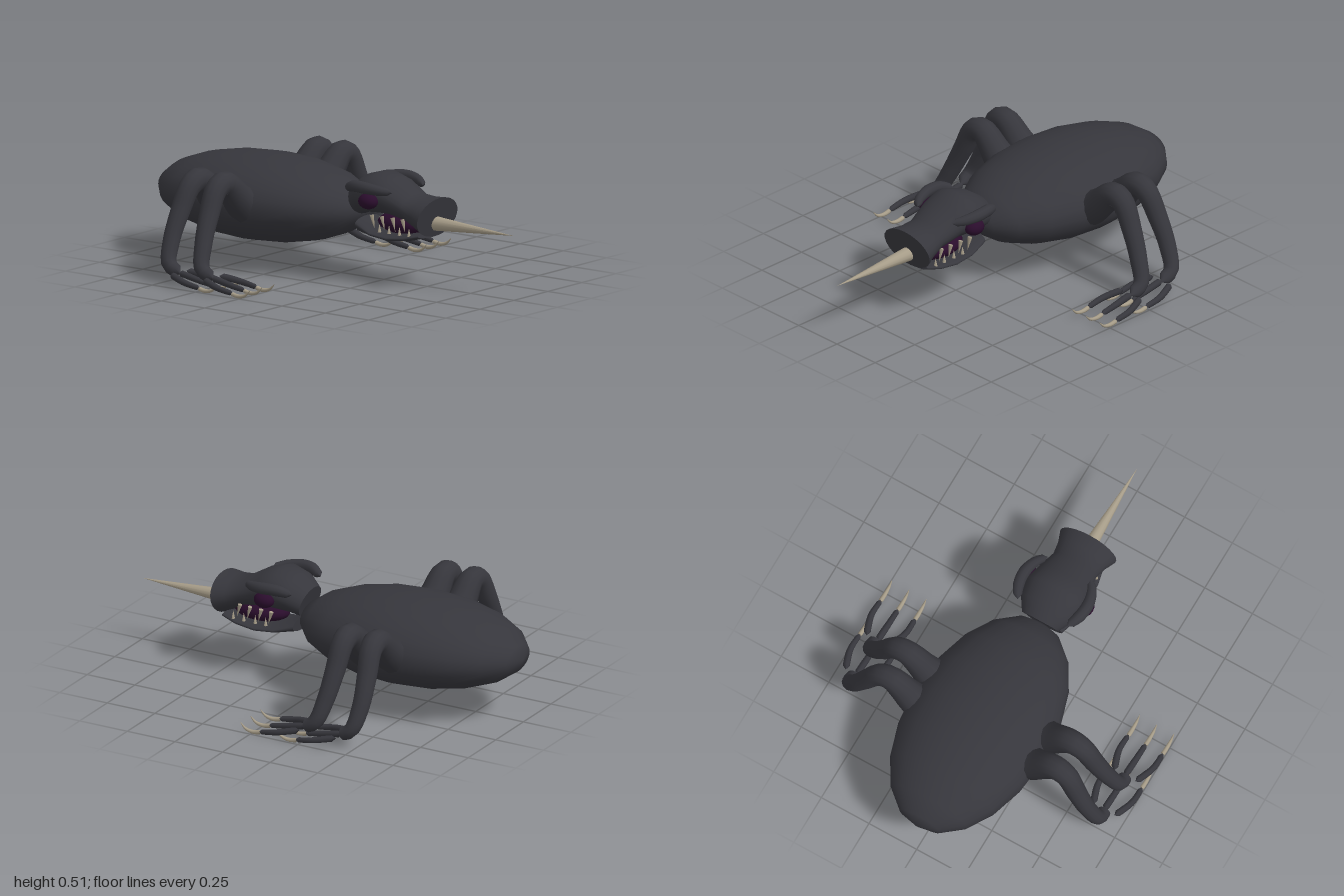
import * as THREE from 'three';

const mat = (name, color) => {
  const m = new THREE.MeshStandardMaterial({ color });
  m.name = name;
  return m;
};

// Tapered, closed tube through points; radii are spread evenly along it
function limb(points, radii, segments = 16, sides = 10) {
  const curve = new THREE.CatmullRomCurve3(points.map((p) => new THREE.Vector3(...p)));
  const geo = new THREE.TubeGeometry(curve, segments, 1, sides);
  const pos = geo.attributes.position;
  const v = new THREE.Vector3();
  for (let i = 0; i <= segments; i++) {
    const t = i / segments;
    const c = curve.getPointAt(t);
    const f = t * (radii.length - 1);
    const k = Math.min(Math.floor(f), radii.length - 2);
    let r = THREE.MathUtils.lerp(radii[k], radii[k + 1], f - k);
    if (i === 0 || i === segments) r = 0.0001;
    for (let j = 0; j <= sides; j++) {
      const n = i * (sides + 1) + j;
      v.fromBufferAttribute(pos, n).sub(c).multiplyScalar(r).add(c);
      pos.setXYZ(n, v.x, v.y, v.z);
    }
  }
  return geo;
}

// Loft of slanted ellipses: [z at top, z at bottom, half width, top y, bottom y]
function loft(rings, sides = 24) {
  const pos = [];
  const index = [];
  const addRing = ([zt, zb, w, top, bot]) => {
    for (let j = 0; j < sides; j++) {
      const a = (j / sides) * Math.PI * 2;
      const u = (Math.sin(a) + 1) / 2;
      pos.push(Math.cos(a) * w, bot + (top - bot) * u, zb + (zt - zb) * u);
    }
  };
  rings.forEach(addRing);
  for (let i = 0; i < rings.length - 1; i++) {
    for (let j = 0; j < sides; j++) {
      const k = (j + 1) % sides;
      const a = i * sides + j, b = i * sides + k;
      index.push(a, b, b + sides, a, b + sides, a + sides);
    }
  }
  // separate end caps keep the rims sharp
  [rings[0], rings[rings.length - 1]].forEach((ring, end) => {
    const s = pos.length / 3;
    addRing(ring);
    for (let j = 1; j < sides - 1; j++) {
      if (end) index.push(s, s + j, s + j + 1);
      else index.push(s, s + j + 1, s + j);
    }
  });
  const geo = new THREE.BufferGeometry();
  geo.setAttribute('position', new THREE.Float32BufferAttribute(pos, 3));
  geo.setIndex(index);
  geo.computeVertexNormals();
  return geo;
}

export function createModel() {
  const model = new THREE.Group();
  model.name = 'creature';
  const hide = mat('charcoal hide', 0x36363c);
  const bone = mat('bone', 0xa69c88);
  const purple = mat('dark purple', 0x2a0d2c);

  const add = (name, geo, material, parent = model) => {
    const mesh = new THREE.Mesh(geo, material);
    mesh.name = name;
    parent.add(mesh);
    return mesh;
  };

  // Body: ellipsoid with its poles at front and back
  const body = new THREE.SphereGeometry(1, 24, 10);
  body.rotateX(Math.PI / 2).scale(0.34, 0.2, 0.57).translate(0, 0.305, -0.43);
  add('body', body, hide);

  // Head
  const head = new THREE.Group();
  head.name = 'head';
  model.add(head);
  add('upperHead', loft([
    [0.10, 0.14, 0.095, 0.435, 0.295],
    [0.17, 0.18, 0.132, 0.485, 0.31],
    [0.255, 0.25, 0.148, 0.51, 0.315],
    [0.34, 0.33, 0.132, 0.485, 0.315],
    [0.44, 0.43, 0.113, 0.425, 0.295],
    [0.51, 0.49, 0.125, 0.418, 0.265],
    [0.575, 0.54, 0.147, 0.422, 0.24],
  ]), hide, head);
  add('lowerJaw', loft([
    [0.155, 0.155, 0.095, 0.29, 0.225],
    [0.25, 0.25, 0.115, 0.247, 0.21],
    [0.35, 0.35, 0.118, 0.238, 0.2],
    [0.45, 0.45, 0.115, 0.25, 0.213],
    [0.52, 0.53, 0.1, 0.265, 0.235],
  ]), hide, head);
  const mouth = new THREE.SphereGeometry(1, 16, 10);
  mouth.scale(0.09, 0.05, 0.14).translate(0, 0.28, 0.37);
  add('mouthInside', mouth, purple, head);

  // Horn
  const horn = new THREE.ConeGeometry(0.034, 0.45, 12);
  horn.rotateX(Math.PI / 2).translate(0, 0.3, 0.775);
  add('horn', horn, bone, head);

  for (const s of [1, -1]) {
    const side = s > 0 ? 'left' : 'right';

    // Eye and overhanging brow
    const eye = new THREE.SphereGeometry(1, 14, 10);
    eye.scale(0.04, 0.037, 0.05).translate(s * 0.148, 0.392, 0.275);
    add(side + 'Eye', eye, purple, head);
    add(side + 'Brow', limb([
      [s * 0.13, 0.435, 0.14], [s * 0.158, 0.455, 0.2], [s * 0.165, 0.455, 0.27],
      [s * 0.145, 0.446, 0.34], [s * 0.112, 0.438, 0.385],
    ], [0.018, 0.027, 0.028, 0.024, 0.015], 12), hide, head);

    // Upper and lower teeth
    [0.27, 0.325, 0.385, 0.44].forEach((z, i) => {
      const upper = new THREE.ConeGeometry(0.011, 0.065, 6);
      upper.rotateX(Math.PI - 0.25).translate(s * (0.105 - i * 0.003), 0.288, z);
      add(side + 'UpperTooth', upper, bone, head);
      const lower = new THREE.ConeGeometry(0.009, 0.04, 6);
      lower.translate(s * 0.094, 0.262, z + 0.028);
      add(side + 'LowerTooth', lower, bone, head);
    });

    // Two legs per side, each with three clawed toes
    for (const rear of [0, 1]) {
      const leg = new THREE.Group();
      leg.name = side + (rear ? 'RearLeg' : 'FrontLeg');
      model.add(leg);
      const zAt = (z, x) => z - rear * (0.145 + 0.045 * THREE.MathUtils.smoothstep(x, 0.45, 0.66));
      const place = ([x, y, z]) => [s * x, y, zAt(z, x)];
      add('limb', limb([
        [0.23, 0.28, -0.335], [0.33, 0.355, -0.335], [0.43, 0.443, -0.335],
        [0.487, 0.425, -0.335], [0.55, 0.31, -0.33], [0.61, 0.185, -0.315],
        [0.655, 0.085, -0.285], [0.655, 0.05, -0.22],
      ].map(place), [0.08, 0.08, 0.066, 0.057, 0.05, 0.047, 0.043, 0.04, 0.036, 0.03], 28, 12), hide, leg);

      const footZ = rear ? -0.19 : 0;
      for (const t of [-1, 0, 1]) {
        const x0 = s * (0.65 + t * 0.055);
        const x1 = s * (0.65 + t * 0.09);
        add('toe', limb([
          [x0, 0.053, -0.235 + footZ], [(x0 + x1) / 2, 0.045, -0.19 + footZ],
          [x1, 0.033, -0.13 + footZ], [x1, 0.018, -0.04 + footZ],
        ], [0.016, 0.016, 0.014, 0.012], 10, 8), hide, leg);
        add('claw', limb([
          [x1, 0.019, -0.055 + footZ], [x1, 0.011, -0.01 + footZ],
          [x1, 0.02, 0.03 + footZ], [x1, 0.047, 0.058 + footZ],
        ], [0.011, 0.01, 0.007, 0.001], 10, 8), bone, leg);
      }
    }
  }
  return model;
}
